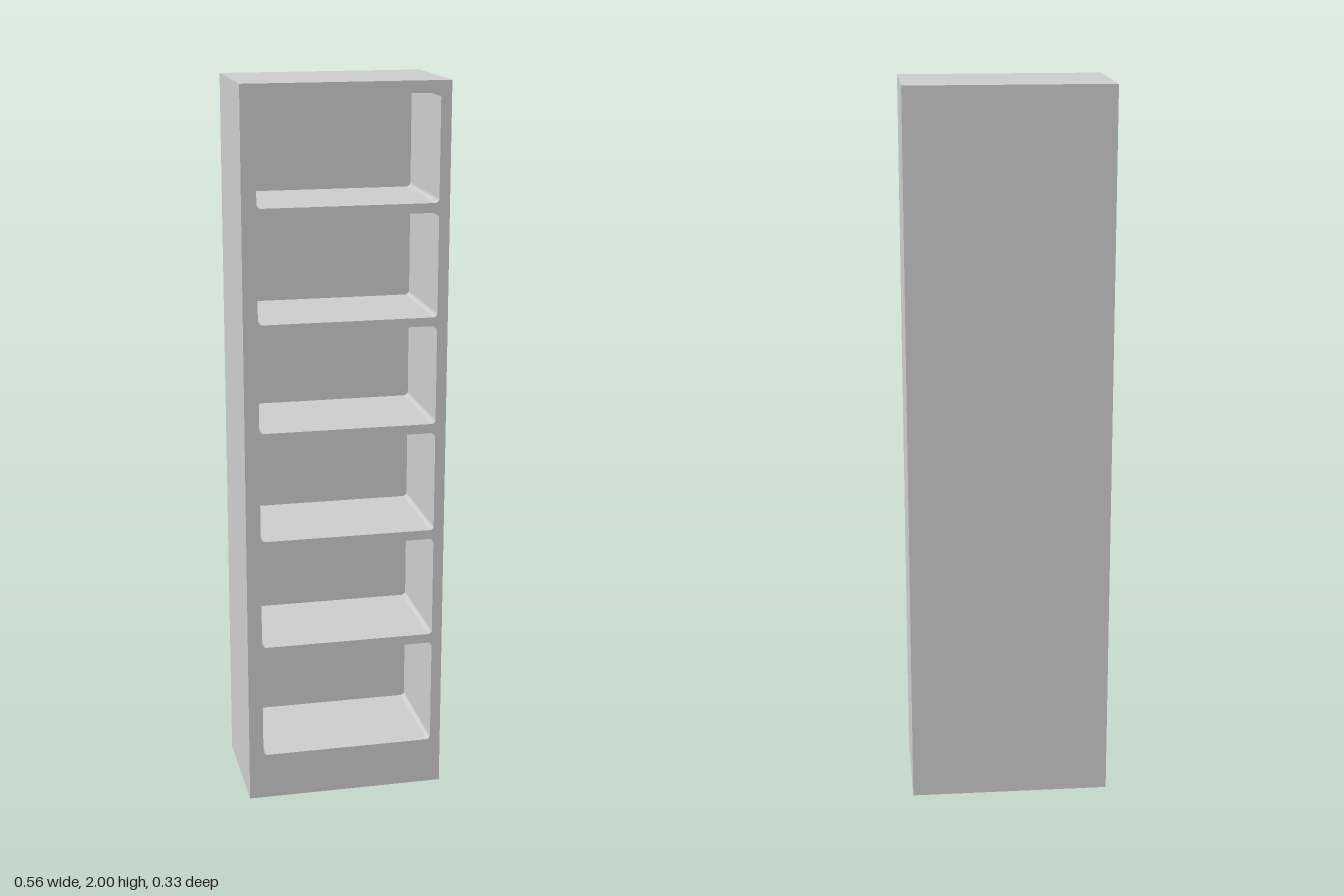
import * as THREE from 'three';

const W = 0.556, H = 2, D = 0.334, BACK = 0.03;
const LEFT = -0.238, RIGHT = 0.249, R = 0.012;
// bottom and top height of each compartment
const BAYS = [[0.132, 0.434], [0.46, 0.746], [0.772, 1.053], [1.079, 1.352], [1.376, 1.657], [1.683, 1.968]];

// rectangular opening with slightly rounded corners
function opening(x0, y0, x1, y1, r) {
  const p = new THREE.Path();
  p.moveTo(x0 + r, y0);
  p.lineTo(x1 - r, y0);
  p.absarc(x1 - r, y0 + r, r, -Math.PI / 2, 0);
  p.lineTo(x1, y1 - r);
  p.absarc(x1 - r, y1 - r, r, 0, Math.PI / 2);
  p.lineTo(x0 + r, y1);
  p.absarc(x0 + r, y1 - r, r, Math.PI / 2, Math.PI);
  p.lineTo(x0, y0 + r);
  p.absarc(x0 + r, y0 + r, r, Math.PI, Math.PI * 1.5);
  return p;
}

export function createModel() {
  const group = new THREE.Group();
  group.name = 'bookcase';
  const material = new THREE.MeshStandardMaterial({ color: 0xcccccc });

  // sides, shelves and plinth as one frame with six openings
  const outline = new THREE.Shape([
    new THREE.Vector2(-W / 2, 0), new THREE.Vector2(W / 2, 0),
    new THREE.Vector2(W / 2, H), new THREE.Vector2(-W / 2, H),
  ]);
  for (const [y0, y1] of BAYS) outline.holes.push(opening(LEFT, y0, RIGHT, y1, R));
  const frameGeometry = new THREE.ExtrudeGeometry(outline, { depth: D - BACK, bevelEnabled: false, curveSegments: 5 });
  const frame = new THREE.Mesh(frameGeometry, material);
  frame.name = 'shelfFrame';
  frame.position.z = -D / 2 + BACK;
  group.add(frame);

  // closed back
  const back = new THREE.Mesh(new THREE.BoxGeometry(W, H, BACK), material);
  back.name = 'backPanel';
  back.position.set(0, H / 2, -D / 2 + BACK / 2);
  group.add(back);

  return group;
}
